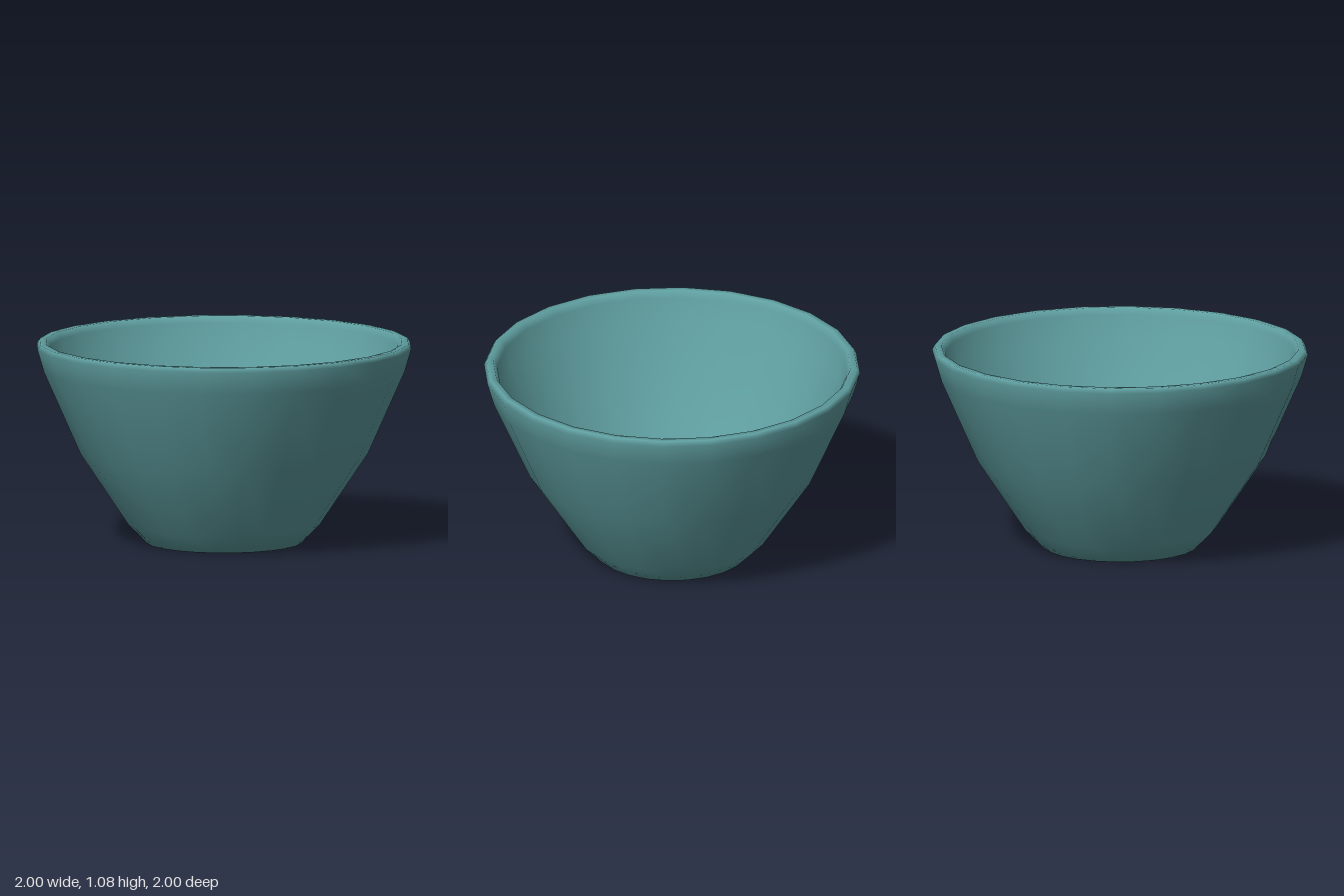
import * as THREE from 'three';

export function createModel() {
  const model = new THREE.Group();
  model.name = 'bowl';

  const glaze = new THREE.MeshStandardMaterial({ color: 0x5f9ea0 });
  glaze.name = 'teal glaze';

  // Closed profile: base, outer wall, rounded rim, inner wall, floor
  const profile = [
    [0, 0], [0.41, 0], [0.51, 0.1], [0.77, 0.49], [0.965, 0.93],
    [1, 1.05], [0.985, 1.075], [0.95, 1.075], [0.93, 1.04],
    [0.9, 0.93], [0.71, 0.52], [0.46, 0.15], [0.38, 0.07], [0, 0.07],
  ].map(([r, y]) => new THREE.Vector2(r, y));

  const shell = new THREE.Mesh(new THREE.LatheGeometry(profile, 24), glaze);
  shell.name = 'bowlShell';
  model.add(shell);

  return model;
}
